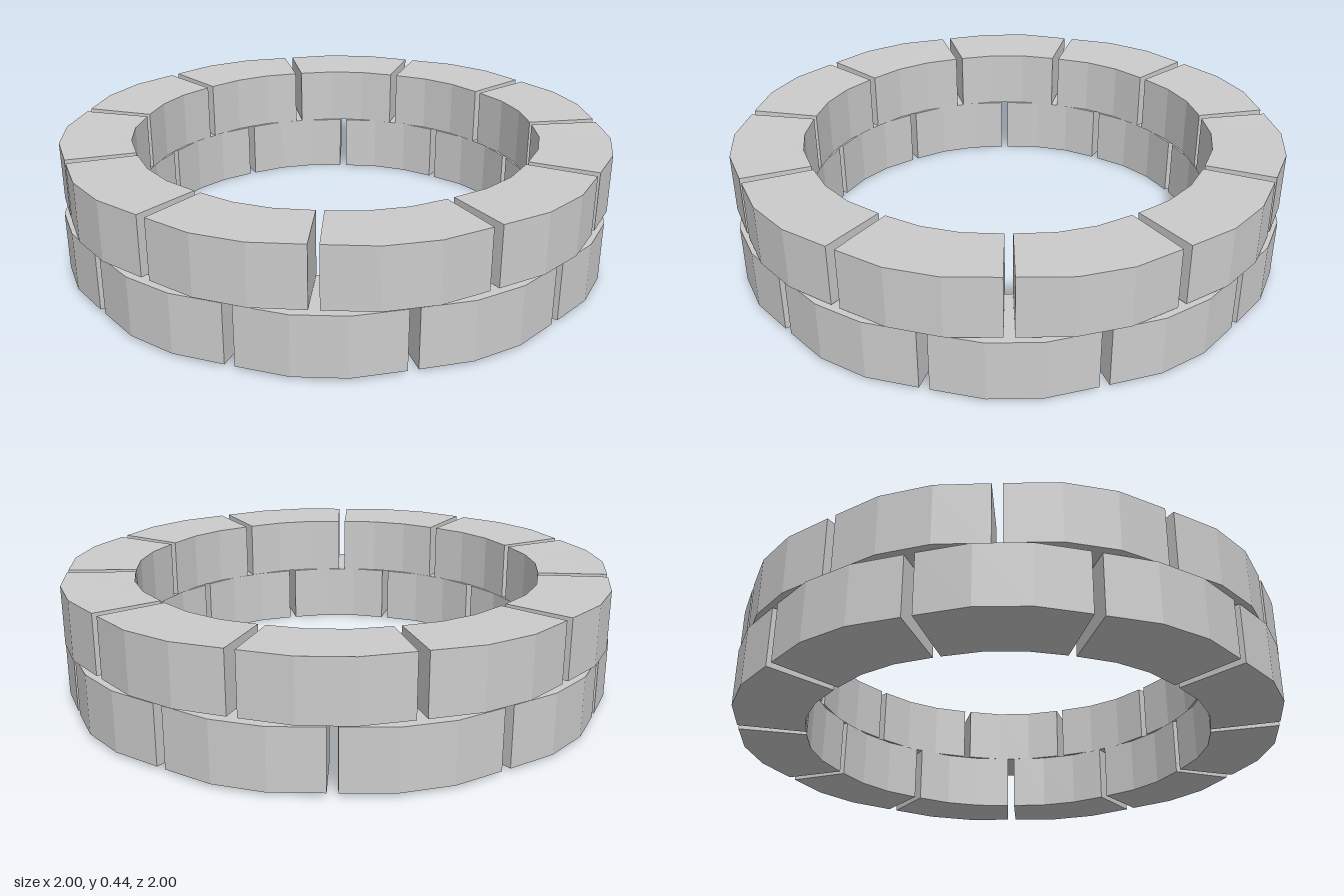
import * as THREE from 'three';

const COUNT = 11;                        // blocks in each course
const STEP = (Math.PI * 2) / COUNT;
const GAP = THREE.MathUtils.degToRad(2); // open joint between blocks
const SEGMENTS = 3;                      // flat facets along each block
const HEIGHT = 0.224;
const COURSE = 0.221;                    // rise from one course to the next

// One arc-shaped block starting at angle 0 (front) and running towards +x
function blockGeometry() {
  const inner = [], outer = [];
  for (let i = 0; i <= SEGMENTS; i++) {
    const a = ((STEP - GAP) * i) / SEGMENTS;
    const end = i === 0 || i === SEGMENTS; // end corners are pulled in slightly
    const point = (r) => new THREE.Vector2(r * Math.sin(a), -r * Math.cos(a));
    outer.push(point(end ? 0.985 : 1.002));
    inner.push(point(end ? 0.74 : 0.747));
  }
  const shape = new THREE.Shape([...outer, ...inner.reverse()]);
  const geometry = new THREE.ExtrudeGeometry(shape, { depth: HEIGHT, bevelEnabled: false });
  geometry.rotateX(-Math.PI / 2);

  // Top and bottom slope down slightly towards the inside
  const p = geometry.attributes.position;
  for (let i = 0; i < p.count; i++) {
    const isInner = Math.hypot(p.getX(i), p.getZ(i)) < 0.86;
    const isTop = p.getY(i) > HEIGHT / 2;
    if (isTop) p.setY(i, isInner ? HEIGHT - 0.005 : HEIGHT);
    else p.setY(i, isInner ? 0 : 0.012);
  }
  geometry.computeVertexNormals();
  return geometry;
}

export function createModel() {
  const model = new THREE.Group();
  model.name = 'blockRing';
  const geometry = blockGeometry();
  const material = new THREE.MeshStandardMaterial({ color: 0xcccccc, flatShading: true });

  // Two courses; the lower one is turned so its joints are staggered
  const courses = [
    { name: 'lowerCourse', y: 0, turn: -(STEP - GAP) / 2 },
    { name: 'upperCourse', y: COURSE, turn: 0 },
  ];
  for (const { name, y, turn } of courses) {
    const course = new THREE.Group();
    course.name = name;
    course.position.y = y;
    course.rotation.y = turn;
    for (let i = 0; i < COUNT; i++) {
      const block = new THREE.Mesh(geometry, material);
      block.name = 'block' + (i + 1);
      block.rotation.y = i * STEP;
      course.add(block);
    }
    model.add(course);
  }
  return model;
}
